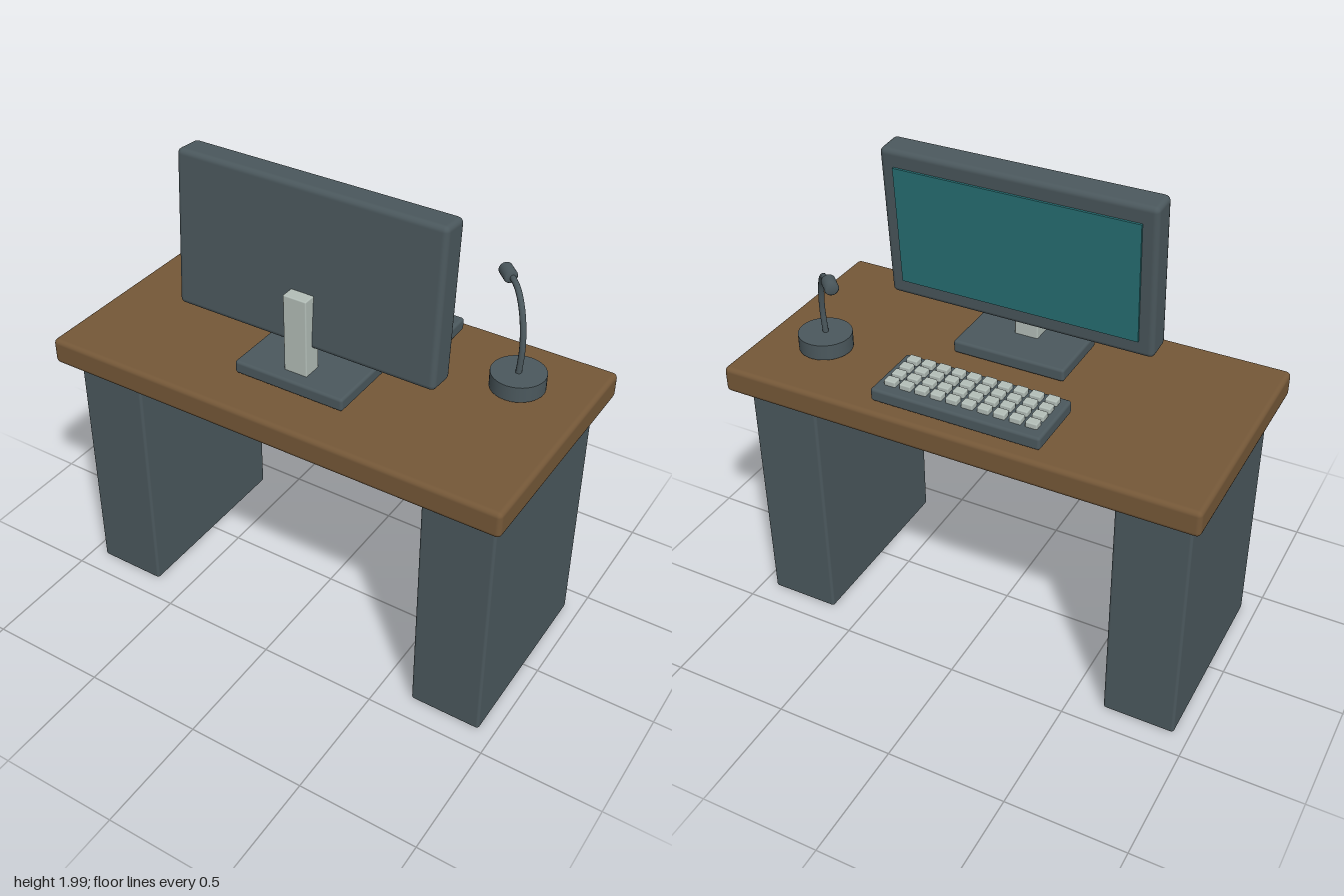
import * as THREE from 'three';
import { RoundedBoxGeometry } from 'three/addons/geometries/RoundedBoxGeometry.js';

const material = (name, color) => {
  const m = new THREE.MeshStandardMaterial({ color });
  m.name = name;
  return m;
};

export function createModel() {
  const slate = material('slate', 0x4b585d);
  const wood = material('wood', 0x755838);
  const teal = material('screenTeal', 0x277074);
  const pale = material('paleGrey', 0xb3beb8);

  const model = new THREE.Group();
  model.name = 'computerDesk';

  const add = (parent, name, geometry, mat, x, y, z) => {
    const mesh = new THREE.Mesh(geometry, mat);
    mesh.name = name;
    mesh.position.set(x, y, z);
    parent.add(mesh);
    return mesh;
  };
  const rounded = (w, h, d, r) => new RoundedBoxGeometry(w, h, d, 2, r);

  // Desk: thick top on two slab pedestals
  add(model, 'deskTop', rounded(1.98, 0.11, 0.99, 0.02), wood, 0, 1.132, 0);
  for (const side of [-1, 1]) {
    add(model, side > 0 ? 'leftPedestal' : 'rightPedestal',
      rounded(0.3, 1.09, 0.81, 0.012), slate, side * 0.788, 0.545, 0);
  }

  // Monitor: foot, neck and leaning display whose screen faces -z
  const monitor = new THREE.Group();
  monitor.name = 'monitor';
  model.add(monitor);
  add(monitor, 'monitorFoot', rounded(0.48, 0.055, 0.3, 0.012), slate, 0, 1.222, 0.152);
  add(monitor, 'monitorNeck', rounded(0.1, 0.34, 0.083, 0.005), pale, 0, 1.405, 0.205);
  const display = new THREE.Group();
  display.name = 'display';
  display.position.set(0, 1.667, 0.127);
  display.rotation.x = -0.07;
  monitor.add(display);
  add(display, 'displayCase', rounded(1.128, 0.64, 0.122, 0.022), slate, 0, 0, 0);
  add(display, 'screen', new THREE.BoxGeometry(1.01, 0.5, 0.009), teal, 0, 0, -0.0655);

  // Keyboard with a 10 by 4 grid of keys
  const keyboard = new THREE.Group();
  keyboard.name = 'keyboard';
  model.add(keyboard);
  add(keyboard, 'keyboardBody', rounded(0.705, 0.055, 0.275, 0.012), slate, 0, 1.222, -0.298);
  const keyGeometry = rounded(0.048, 0.03, 0.04, 0.005);
  for (let row = 0; row < 4; row++) {
    for (let col = 0; col < 10; col++) {
      add(keyboard, 'key', keyGeometry, pale,
        (col - 4.5) * 0.0655, 1.256, -0.288 + (row - 1.5) * 0.054);
    }
  }

  // Desk microphone: round base, bent stalk, short capsule
  const microphone = new THREE.Group();
  microphone.name = 'microphone';
  model.add(microphone);
  add(microphone, 'microphoneBase', new THREE.CylinderGeometry(0.108, 0.108, 0.065, 32), slate, 0.708, 1.232, -0.192);
  const stalk = new THREE.CatmullRomCurve3([
    new THREE.Vector3(0.708, 1.24, -0.187),
    new THREE.Vector3(0.713, 1.38, -0.192),
    new THREE.Vector3(0.69, 1.5, -0.215),
    new THREE.Vector3(0.645, 1.565, -0.26),
    new THREE.Vector3(0.59, 1.58, -0.315),
  ]);
  add(microphone, 'microphoneStalk', new THREE.TubeGeometry(stalk, 28, 0.012, 10), slate, 0, 0, 0);
  const capsule = new THREE.LatheGeometry([
    [0, -0.038], [0.022, -0.038], [0.028, -0.03], [0.028, 0.03], [0.022, 0.038], [0, 0.038],
  ].map(([r, y]) => new THREE.Vector2(r, y)), 20);
  const head = add(microphone, 'microphoneHead', capsule, slate, 0.57, 1.58, -0.327);
  head.quaternion.setFromUnitVectors(new THREE.Vector3(0, 1, 0), new THREE.Vector3(-1, 0, -1).normalize());

  return model;
}
